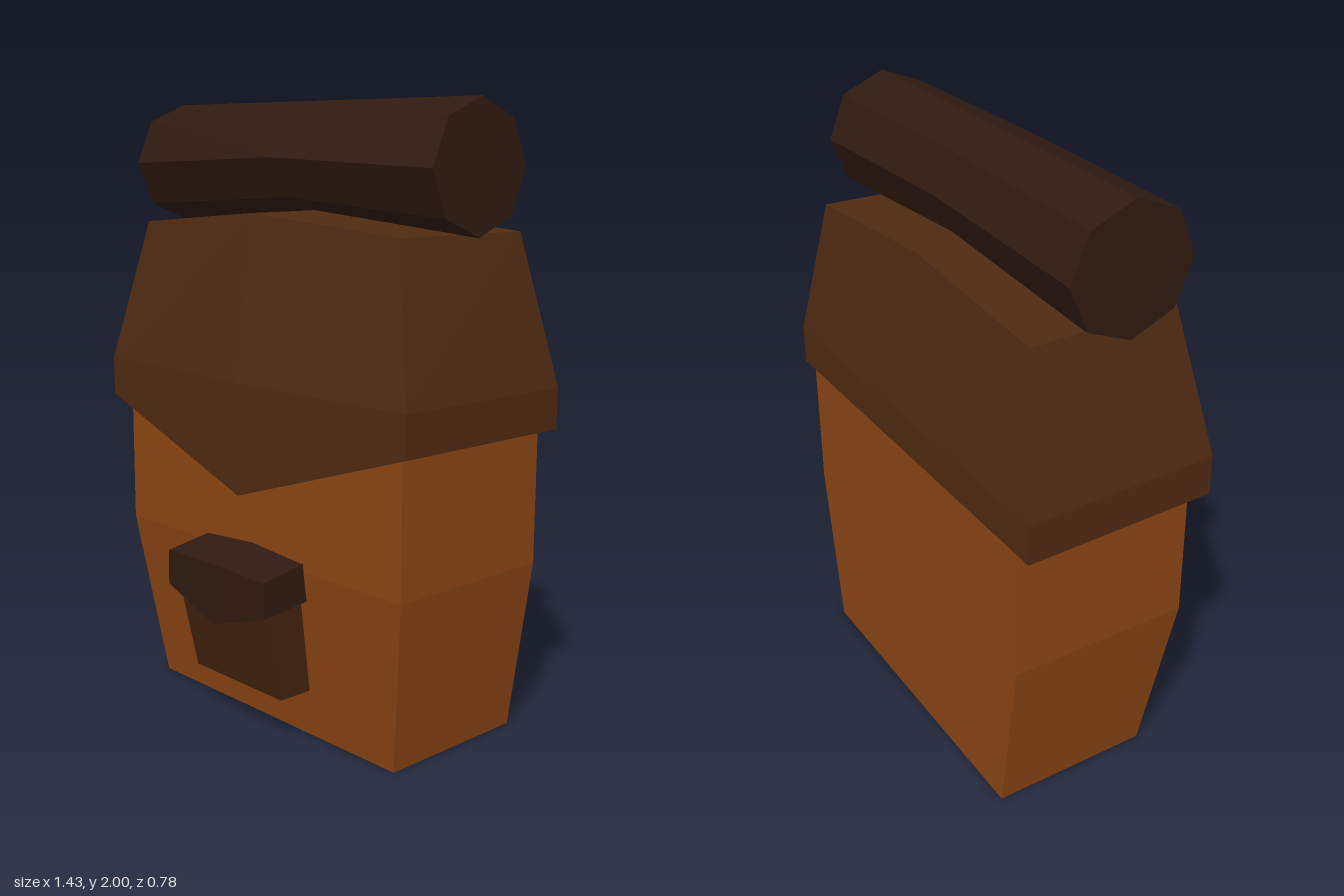
import * as THREE from 'three';

const mat = (color) => new THREE.MeshStandardMaterial({ color, flatShading: true });

// Joins equal-length rings of [x, y, z] into a faceted solid; caps are built as strips across the ring.
function loft(name, rings, material) {
  const pos = [];
  const quad = (a, b, c, d) => pos.push(...a, ...b, ...c, ...a, ...c, ...d);
  const n = rings[0].length;
  for (let i = 0; i < rings.length - 1; i++) {
    for (let j = 0; j < n; j++) {
      const k = (j + 1) % n;
      quad(rings[i][j], rings[i][k], rings[i + 1][k], rings[i + 1][j]);
    }
  }
  const first = rings[0], last = rings[rings.length - 1];
  for (let j = 0; j < n / 2 - 1; j++) {
    const s = [j, j + 1, n - 2 - j, n - 1 - j];
    quad(...s.map((v) => last[v]));
    quad(...s.reverse().map((v) => first[v]));
  }
  const geo = new THREE.BufferGeometry();
  geo.setAttribute('position', new THREE.Float32BufferAttribute(pos, 3));
  geo.computeVertexNormals();
  const mesh = new THREE.Mesh(geo, material);
  mesh.name = name;
  return mesh;
}

// Level rectangle ring
const rect = (x, y, front, back) => [[-x, y, front], [x, y, front], [x, y, back], [-x, y, back]];

// Mirrored six-point ring: front corner, front centre, back corner, back centre height
const gable = ([fx, fy, fz], [cy, cz], [bx, by, bz], backY = by) => [
  [-fx, fy, fz], [0, cy, cz], [fx, fy, fz],
  [bx, by, bz], [0, backY, bz], [-bx, by, bz],
];

export function createModel() {
  const group = new THREE.Group();
  group.name = 'backpack';
  const leather = mat(0x8b4513);
  const flapLeather = mat(0x4f2a10);
  const pocketLeather = mat(0x42230e);
  const darkCloth = mat(0x2f1a10);

  // Main bag, tapering towards the base with a flat back
  group.add(loft('body', [
    rect(0.565, 0, 0.15, -0.385),
    rect(0.65, 0.57, 0.22, -0.385),
    rect(0.65, 1.1, 0.22, -0.385),
  ], leather));

  // Top flap: underside lip, pointed lower edge, shoulder, ridged top
  group.add(loft('topFlap', [
    gable([0.64, 1.01, 0.2], [0.78, 0.2], [0.64, 1.01, -0.38]),
    gable([0.7, 1.01, 0.26], [0.78, 0.285], [0.717, 1.01, -0.39]),
    gable([0.7, 1.14, 0.26], [1.14, 0.285], [0.717, 1.14, -0.39]),
    gable([0.585, 1.61, 0.18], [1.66, 0.215], [0.61, 1.61, -0.32], 1.66),
  ], flapLeather));

  // Front pocket
  group.add(loft('pocket', [
    rect(0.21, 0.16, 0.29, 0.1),
    rect(0.21, 0.47, 0.362, 0.15),
  ], pocketLeather));

  // Pocket flap with pointed edge
  group.add(loft('pocketFlap', [
    gable([0.238, 0.455, 0.383], [0.38, 0.39], [0.238, 0.475, 0.19], 0.4),
    gable([0.235, 0.57, 0.383], [0.58, 0.39], [0.235, 0.6, 0.19], 0.617),
  ], darkCloth));

  // Bedroll: octagonal, squeezed upwards in the middle where it rests on the flap
  const roll = [[-0.7, 1], [-0.01, 0.875], [0.668, 1]].map(([x, squeeze]) =>
    Array.from({ length: 8 }, (_, i) => {
      const a = (i * Math.PI) / 4;
      return [x, 2 - 0.198 * (1 - Math.cos(a)) * squeeze, -0.063 + 0.2 * Math.sin(a)];
    }));
  group.add(loft('bedroll', roll, darkCloth));

  return group;
}
